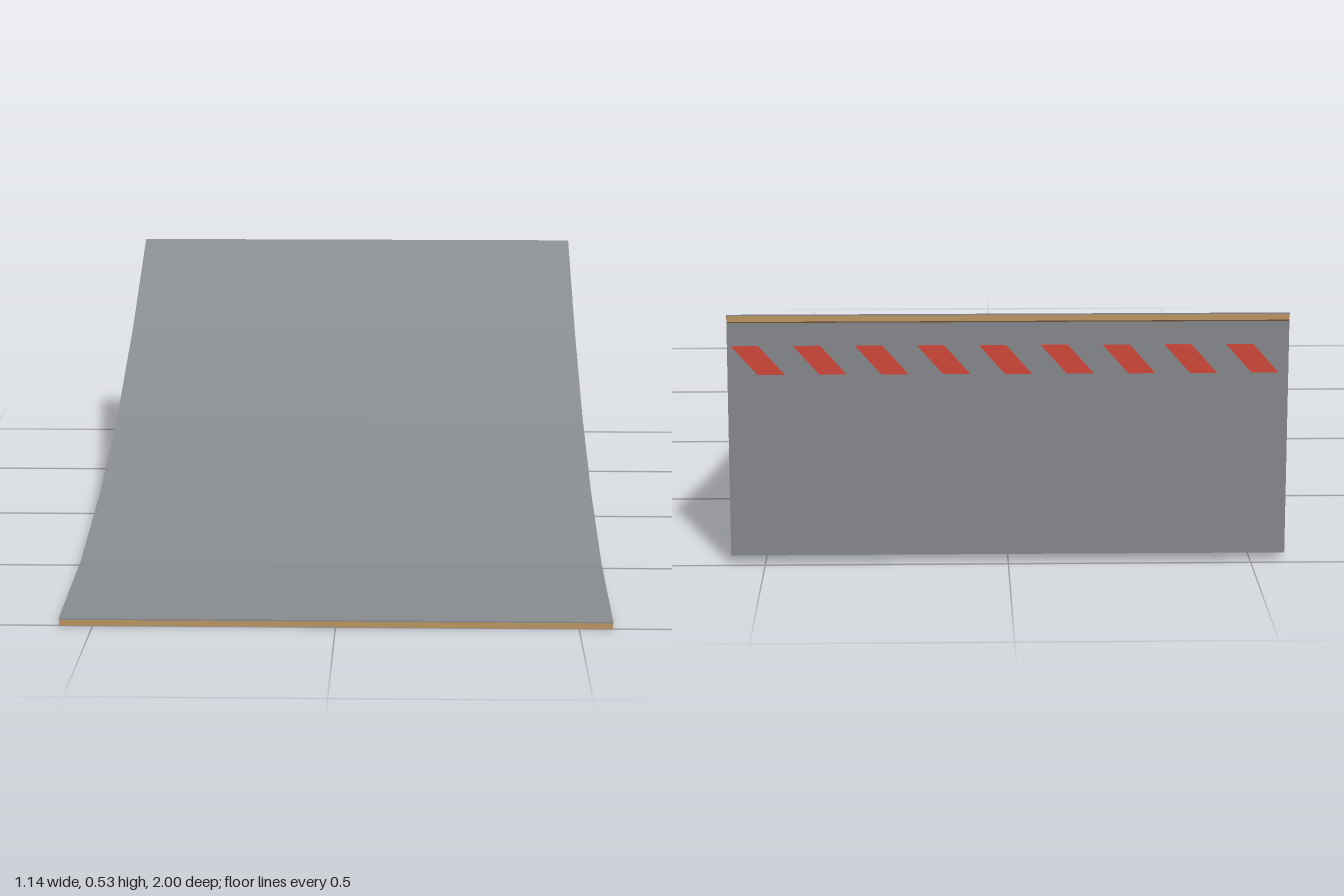
import * as THREE from 'three';

const HALF = 0.57; // half width of the ramp
// Riding curve as [z, y], from the front lip to the back edge
const CURVE = [[1, 0.015], [0.6, 0.036], [0.2, 0.1], [-0.2, 0.2], [-0.6, 0.345], [-1, 0.527]];

const drop = (points, d) => points.map(([z, y]) => [z, y - d]);

// Extrude a [z, y] side profile across the width, centred on x = 0
function acrossWidth(profile, halfWidth) {
  const shape = new THREE.Shape(profile.map(([z, y]) => new THREE.Vector2(z, y)));
  const geometry = new THREE.ExtrudeGeometry(shape, { depth: halfWidth * 2, bevelEnabled: false });
  return geometry.translate(0, 0, -halfWidth).rotateY(-Math.PI / 2);
}

export function createModel() {
  const group = new THREE.Group();
  const material = (name, color) => {
    const m = new THREE.MeshStandardMaterial({ color });
    m.name = name;
    return m;
  };
  const sheetGrey = material('sheet grey', 0x888b8f);
  const bodyGrey = material('body grey', 0x86878b);
  const wood = material('plywood', 0xbd9562);
  const darkWood = material('dark plywood', 0x94683f);
  const red = material('warning red', 0xcf4638);

  const add = (name, geometry, mat) => {
    const mesh = new THREE.Mesh(geometry, mat);
    mesh.name = name;
    group.add(mesh);
    return mesh;
  };

  // Thin riding sheet following the curve
  const sheet = [...CURVE, ...drop(CURVE, 0.003).reverse()];
  add('ridingSurface', acrossWidth(sheet, HALF), sheetGrey);

  // Plywood deck under the sheet, showing at the front lip and back edge
  const deck = [...drop(CURVE, 0.003), ...drop(CURVE, 0.015).reverse()];
  add('plywoodDeck', acrossWidth(deck, HALF - 0.001), wood);

  // Solid wedge body with closed sides
  const body = [
    [-0.99, 0.018], [0.66, 0.0175], [0.79, 0.0105], [0.79, 0.0225],
    ...drop(CURVE.slice(1, 5), 0.003), [-0.99, 0.519],
  ];
  add('rampBody', acrossWidth(body, HALF), bodyGrey);

  // Second plywood layer under the lip
  const underlay = [[0.66, 0.0165], [0.79, 0.0092], [0.79, 0.0115], [0.66, 0.0185]];
  add('lipUnderlay', acrossWidth(underlay, HALF - 0.001), darkWood);

  // Slanted warning stripes along the back
  const stripe = new THREE.Shape([
    new THREE.Vector2(0, 0.46), new THREE.Vector2(-0.055, 0.46),
    new THREE.Vector2(-0.108, 0.4), new THREE.Vector2(-0.053, 0.4),
  ]);
  const stripeGeometry = new THREE.ExtrudeGeometry(stripe, { depth: 0.003, bevelEnabled: false });
  for (let i = 0; i < 9; i++) {
    add('warningStripe', stripeGeometry, red).position.set(0.562 - i * 0.1255, 0, -0.992);
  }
  return group;
}
